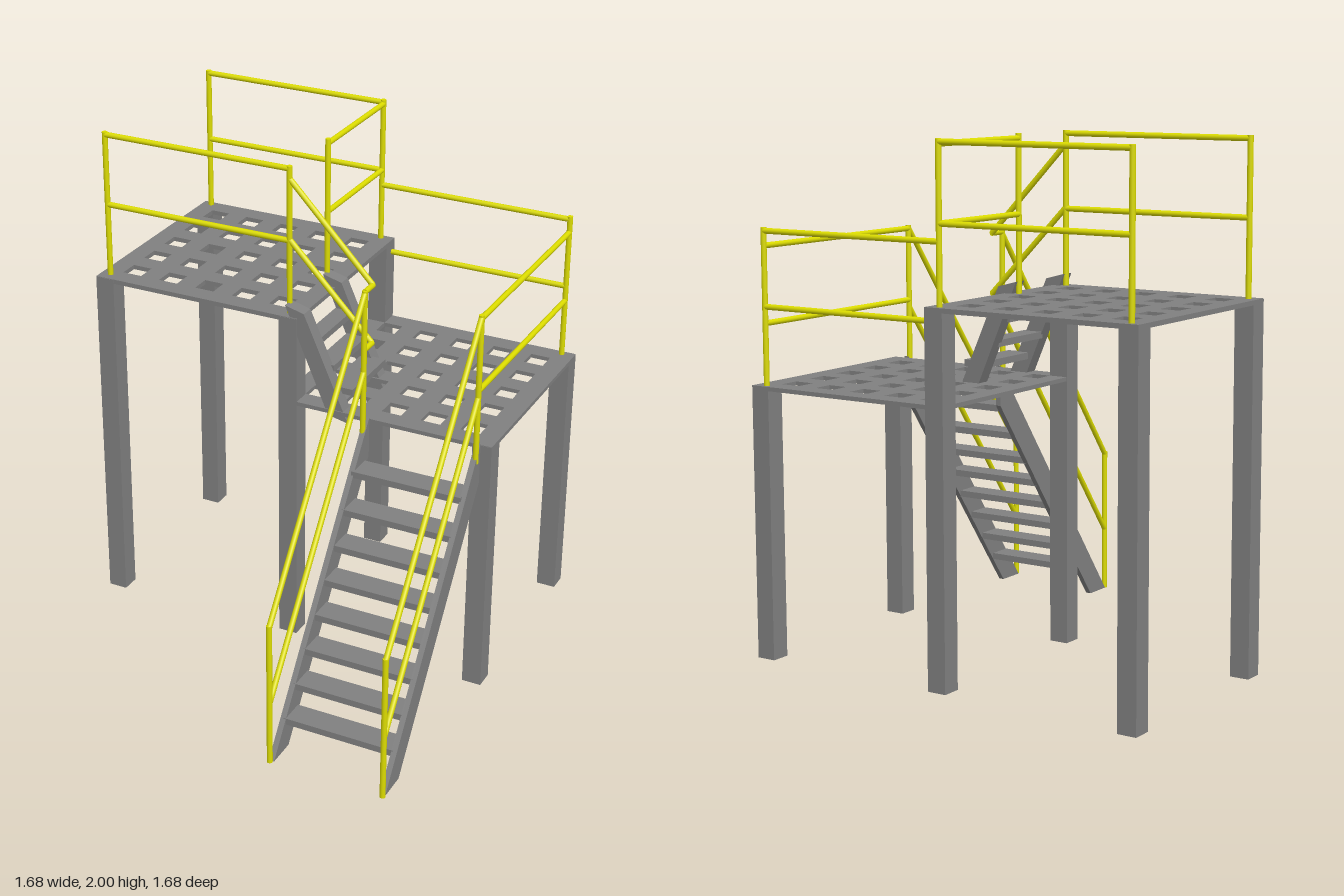
import * as THREE from 'three';

const grey = new THREE.MeshStandardMaterial({ color: 0x808080 });
const yellow = new THREE.MeshStandardMaterial({ color: 0xdcdc00 });
const UP = new THREE.Vector3(0, 1, 0);

// Box given by its min and max corners
function box(name, [x0, y0, z0], [x1, y1, z1]) {
  const mesh = new THREE.Mesh(new THREE.BoxGeometry(x1 - x0, y1 - y0, z1 - z0), grey);
  mesh.position.set((x0 + x1) / 2, (y0 + y1) / 2, (z0 + z1) / 2);
  mesh.name = name;
  return mesh;
}

// Round bar between two points
function bar(name, from, to) {
  const a = new THREE.Vector3(...from), b = new THREE.Vector3(...to);
  const mesh = new THREE.Mesh(new THREE.CylinderGeometry(0.011, 0.011, a.distanceTo(b), 12), yellow);
  mesh.position.copy(a).add(b).multiplyScalar(0.5);
  mesh.quaternion.setFromUnitVectors(UP, b.sub(a).normalize());
  mesh.name = name;
  return mesh;
}

// Flat plate extruded from an outline
function plate(name, points, depth, holes = []) {
  const shape = new THREE.Shape(points.map(p => new THREE.Vector2(...p)));
  shape.holes = holes.map(h => new THREE.Path(h.map(p => new THREE.Vector2(...p))));
  const mesh = new THREE.Mesh(new THREE.ExtrudeGeometry(shape, { depth, bevelEnabled: false }), grey);
  mesh.name = name;
  return mesh;
}

// Platform with a 5 x 5 grid of square holes
function deck(name, x0, x1, firstHole, top, thickness) {
  const holes = [], h = 0.04;
  for (let i = 0; i < 5; i++) for (let j = 0; j < 5; j++) {
    const x = firstHole + i * 0.161, y = 0.081 + j * 0.16;
    holes.push([[x - h, y - h], [x - h, y + h], [x + h, y + h], [x + h, y - h]]);
  }
  const mesh = plate(name, [[x0, -0.037], [x1, -0.037], [x1, 0.84], [x0, 0.84]], thickness, holes);
  mesh.rotation.x = -Math.PI / 2;
  mesh.position.y = top - thickness;
  return mesh;
}

export function createModel() {
  const model = new THREE.Group();
  const group = (name) => {
    const g = new THREE.Group();
    g.name = name;
    model.add(g);
    return g;
  };

  // Decks
  model.add(deck('upperDeck', -0.84, 0.037, -0.724, 1.412, 0.018));
  model.add(deck('lowerDeck', -0.037, 0.84, 0.077, 1.064, 0.016));

  // Six square legs
  const legs = group('legs'), w = 0.0385;
  for (const [x, bottom, top] of [[-0.8015, 0, 1.41], [-0.001, 0.014, 1.41], [0.8015, 0.014, 1.062]])
    for (const z of [0, -0.8015])
      legs.add(box('leg', [x - w, bottom, z - w], [x + w, top, z + w]));

  // Main stairs
  const stairs = group('mainStairs');
  for (const x of [0.322, 0.774]) {
    const side = plate('stairStringer', [[-0.822, 0], [-0.705, 0], [-0.037, 0.908], [-0.037, 1.07]], 0.022);
    side.rotation.y = Math.PI / 2;
    side.position.x = x;
    stairs.add(side);
  }
  [0.133, 0.239, 0.347, 0.453, 0.56, 0.667, 0.78, 0.903].forEach((top, i) => {
    const front = 0.727 - i * 0.0793;
    stairs.add(box('stairTread', [0.335, top - 0.026, front - 0.1], [0.78, top, front]));
  });

  // Short steps between the decks
  const steps = group('shortSteps');
  for (const z of [-0.344, -0.022]) {
    const side = plate('stepStringer', [[-0.014, 1.457], [0.168, 1.038], [0.252, 1.02], [0.065, 1.436]], 0.055);
    side.position.z = z;
    steps.add(side);
  }
  for (const [x0, x1, top] of [[0.04, 0.11, 1.325], [0.09, 0.172, 1.228], [0.15, 0.25, 1.143]])
    steps.add(box('step', [x0, top - 0.026, -0.305], [x1, top, -0.01]));

  // Upper deck railings, front and back
  const L = -0.8, M = -0.013, R = 0.789, S = 0.33, F = -0.004, B = -0.816;
  const upper = group('upperRailing');
  for (const z of [F, B]) {
    for (const x of [L, M]) upper.add(bar('railPost', [x, 1.4, z], [x, 2, z]));
    for (const y of [1.989, 1.705]) upper.add(bar('rail', [L, y, z], [M, y, z]));
  }
  // Railing beside the short steps
  upper.add(bar('railPost', [M, 1.4, -0.322], [M, 2, -0.322]));
  for (const y of [1.982, 1.705]) upper.add(bar('rail', [M, y, B], [M, y, -0.322]));

  // Lower deck railings
  const lower = group('lowerRailing');
  lower.add(bar('railPost', [R, 1.05, B], [R, 1.655, B]));
  for (const y of [1.642, 1.36]) lower.add(bar('backRail', [M, y, B], [R, y, B]));
  for (const y of [1.587, 1.298]) lower.add(bar('sideRail', [R, y, B], [R, y, 0.065]));
  // Sloping rails from the upper deck to the stair post
  for (const [y0, y1] of [[1.95, 1.595], [1.71, 1.36]]) {
    lower.add(bar('slopingRail', [M, y0, F], [S, y1, F]));
    lower.add(bar('cornerRail', [S, y1, F], [S, y1, 0.065]));
  }

  // Stair handrails
  const hand = group('stairHandrails');
  for (const x of [S, R]) {
    hand.add(bar('bottomPost', [x, 0, 0.829], [x, 0.597, 0.829]));
    hand.add(bar('topPost', [x, 1, 0.065], [x, 1.6, 0.065]));
    hand.add(bar('handrail', [x, 0.588, 0.829], [x, 1.59, 0.065]));
    hand.add(bar('midRail', [x, 0.26, 0.829], [x, 1.27, 0.065]));
  }
  return model;
}
